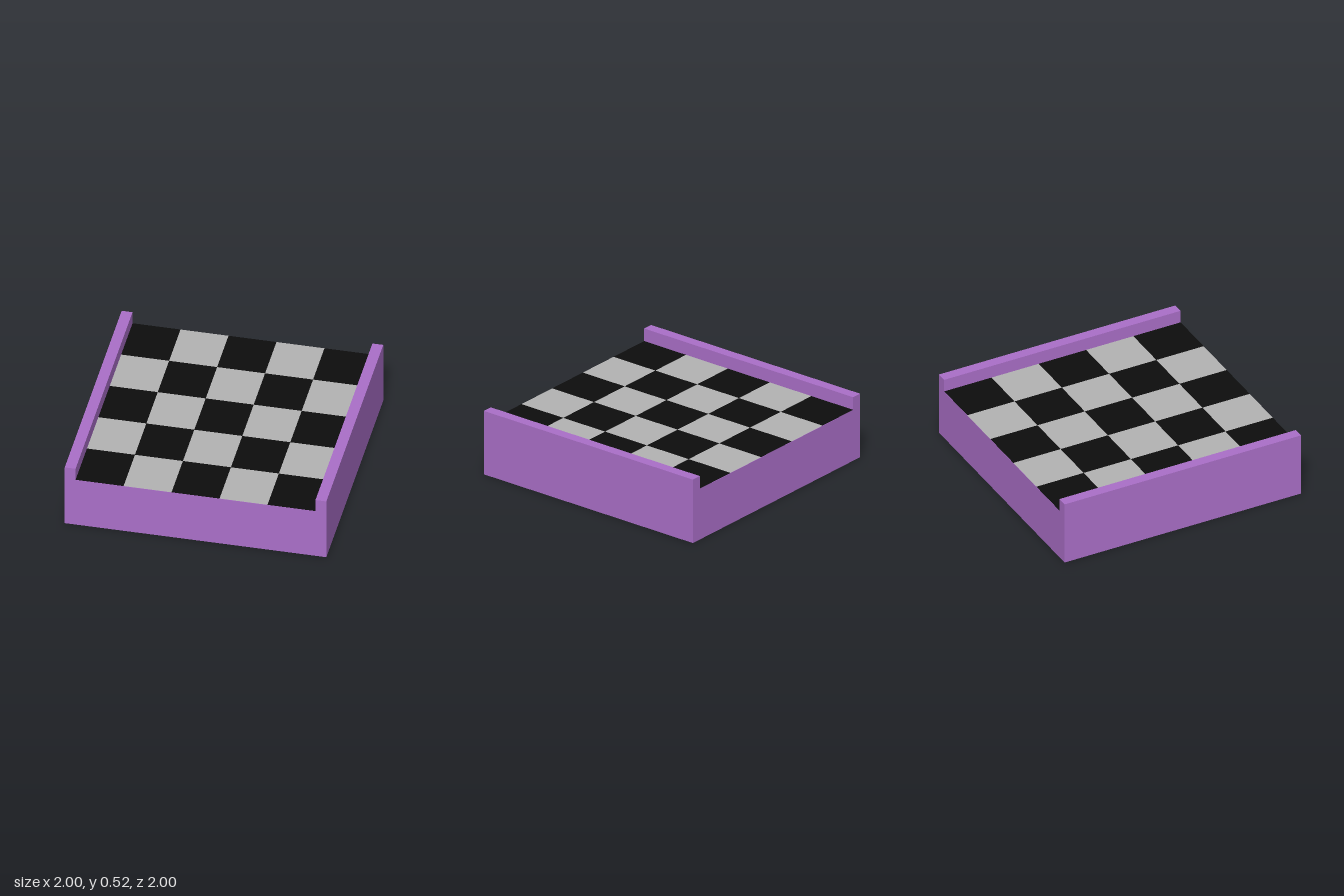
import * as THREE from 'three';

const HALF = 1, INNER = 0.917, FLOOR = 0.415, TOP = 0.52, TILES = 5;

const paint = (color) => new THREE.MeshStandardMaterial({ color });

export function createModel() {
  const model = new THREE.Group();
  model.name = 'checkeredFloorBlock';
  const purple = paint(0xab6fc9), black = paint(0x0d0d0d), grey = paint(0xb3b3b3);

  // Block with a raised rail along each side, extruded front to back
  const profile = new THREE.Shape([
    [-HALF, 0], [HALF, 0], [HALF, TOP], [INNER, TOP],
    [INNER, FLOOR], [-INNER, FLOOR], [-INNER, TOP], [-HALF, TOP],
  ].map(([x, y]) => new THREE.Vector2(x, y)));
  const baseGeometry = new THREE.ExtrudeGeometry(profile, { depth: 2 * HALF, bevelEnabled: false });
  baseGeometry.translate(0, 0, -HALF);
  const base = new THREE.Mesh(baseGeometry, purple);
  base.name = 'railedBase';
  model.add(base);

  // Checkered floor, black in the corners, laid a hair above the base
  const floor = new THREE.Group();
  floor.name = 'checkeredFloor';
  const width = 2 * INNER / TILES, depth = 2 * HALF / TILES;
  const tileGeometry = new THREE.PlaneGeometry(width, depth).rotateX(-Math.PI / 2);
  for (let row = 0; row < TILES; row++) {
    for (let col = 0; col < TILES; col++) {
      const isBlack = (row + col) % 2 === 0;
      const tile = new THREE.Mesh(tileGeometry, isBlack ? black : grey);
      tile.name = isBlack ? 'blackTile' : 'greyTile';
      tile.position.set(-INNER + (col + 0.5) * width, FLOOR + 0.002, -HALF + (row + 0.5) * depth);
      floor.add(tile);
    }
  }
  model.add(floor);
  return model;
}
